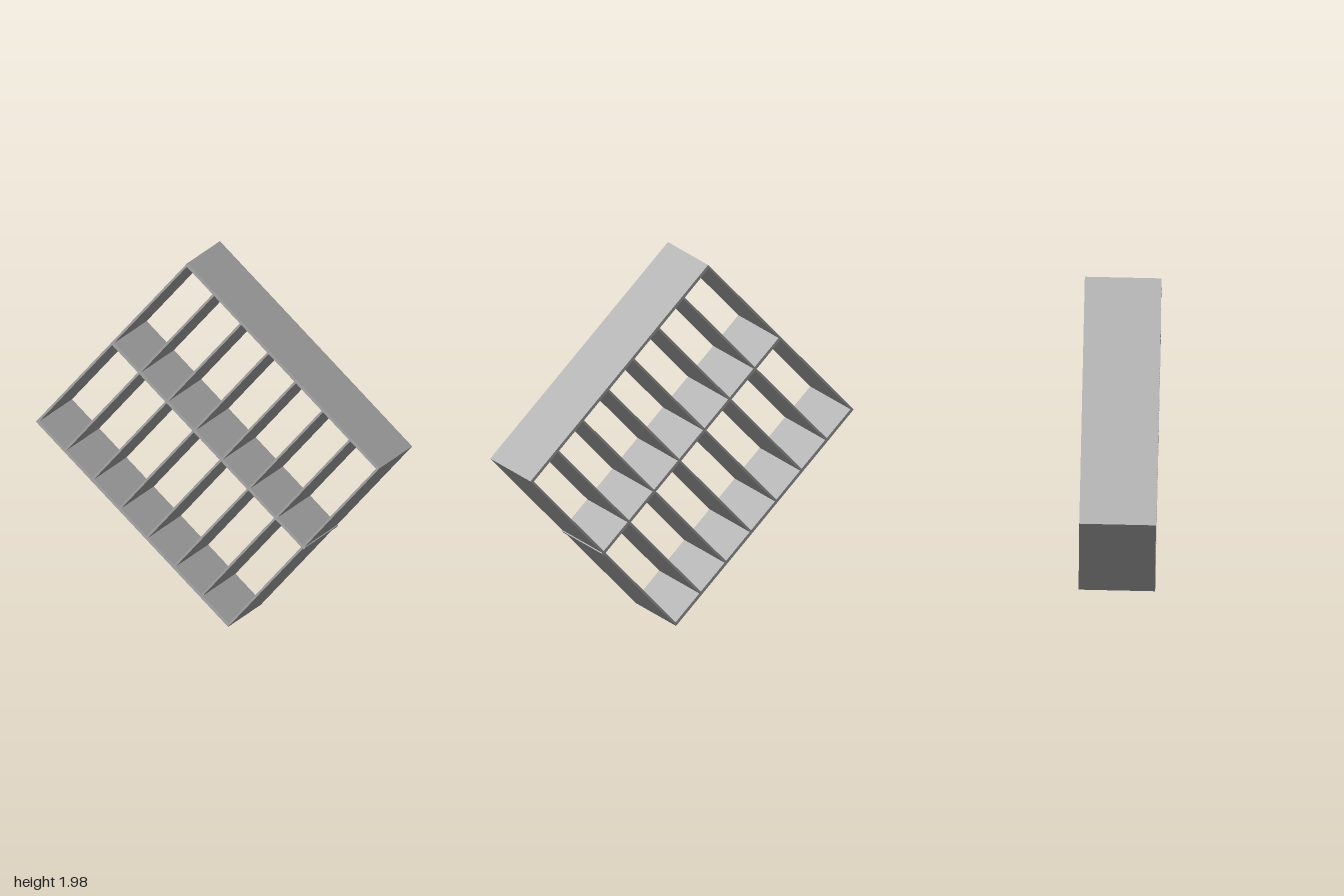
import * as THREE from 'three';

export function createModel() {
  const model = new THREE.Group();
  model.name = 'tiltedShelf';
  const grey = new THREE.MeshStandardMaterial({ color: 0xb2b2b2 });
  grey.name = 'grey';

  const L = 1.474, H = 1.326, D = 0.4; // length, height, depth
  const board = 0.017, thin = 0.012;   // board thicknesses
  const rack = new THREE.Group();
  rack.name = 'rack';

  function panel(name, w, h, x, y) {
    const mesh = new THREE.Mesh(new THREE.BoxGeometry(w, h, D), grey);
    mesh.name = name;
    mesh.position.set(x, y, 0);
    rack.add(mesh);
  }

  // long boards; the middle shelf pokes slightly past the end panel
  panel('topBoard', L, board, 0, (H - board) / 2);
  panel('bottomBoard', L, board, 0, -(H - board) / 2);
  panel('middleShelf', L - thin + 0.008, board, thin / 2 + 0.002, 0);

  // end panels
  const inner = H - 2 * board;
  for (const s of [-1, 1]) panel(s < 0 ? 'rightEnd' : 'leftEnd', thin, inner, s * (L - thin) / 2, 0);

  // six dividers in each of the two rows
  const bay = (H - 3 * board) / 2;
  for (let i = 1; i < 7; i++) {
    const x = -(L - thin) / 2 + i * (L - thin) / 7;
    for (const s of [-1, 1]) panel('divider', thin, bay, x, s * (bay + board) / 2);
  }

  // the whole rack rests tilted on one corner
  const ax = new THREE.Vector3(1.10, -0.98, 0.035).normalize();
  const up = new THREE.Vector3(0.88, 0.99, 0.06).normalize();
  const az = new THREE.Vector3().crossVectors(ax, up).normalize();
  const ay = new THREE.Vector3().crossVectors(az, ax);
  rack.quaternion.setFromRotationMatrix(new THREE.Matrix4().makeBasis(ax, ay, az));
  rack.position.y = 0.99;
  model.add(rack);
  return model;
}
